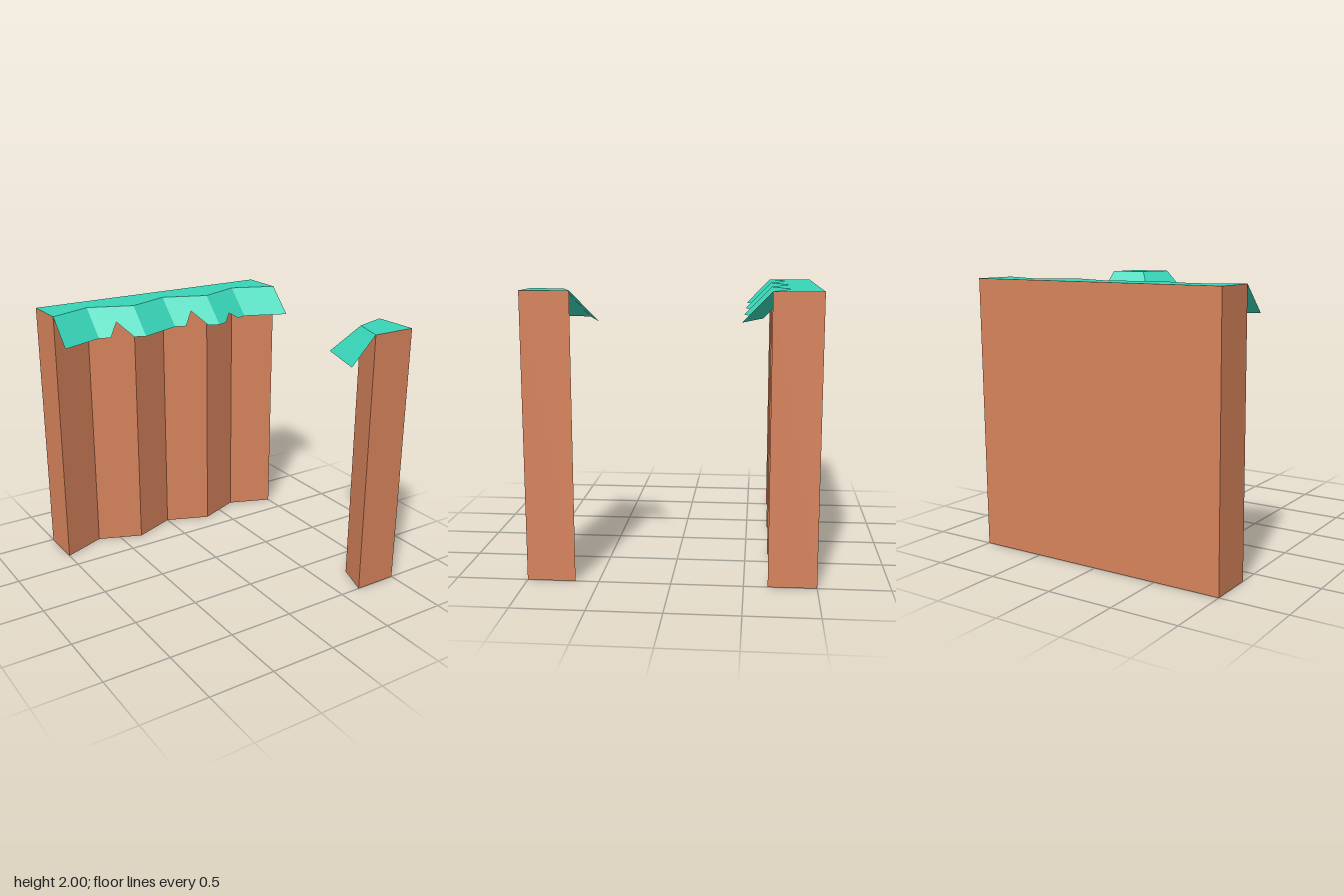
import * as THREE from 'three';
import { mergeGeometries } from 'three/addons/utils/BufferGeometryUtils.js';

const TOP = 2, HEM = 1.8;
const soil = new THREE.MeshStandardMaterial({ color: 0xd8845c, flatShading: true });
const turf = new THREE.MeshStandardMaterial({ color: 0x38d6b8, flatShading: true, side: THREE.DoubleSide });

// Flat polygon from [x, z] points at height y, facing up (1) or down (-1)
function slab(outline, y, facing) {
  const shape = new THREE.Shape(outline.map(([x, z]) => new THREE.Vector2(x, -facing * z)));
  return new THREE.ShapeGeometry(shape).rotateX(-facing * Math.PI / 2).translate(0, y, 0).toNonIndexed();
}

// Four-sided panel between rim edge a-b and hem edge c-d, optionally with a pointed notch cut up from the hem
function panel(a, b, c, d, yTop, yLow, notch = 0) {
  const pts = [[0, 0], [0, 1]];
  if (notch) pts.push([0.25, 1], [0.5, notch], [0.75, 1]);
  pts.push([1, 1], [1, 0]);
  const geo = new THREE.ShapeGeometry(new THREE.Shape(pts.map(([s, t]) => new THREE.Vector2(s, -t)))).toNonIndexed();
  const pos = geo.attributes.position;
  const lerp = THREE.MathUtils.lerp;
  for (let i = 0; i < pos.count; i++) {
    const s = pos.getX(i), t = -pos.getY(i);
    const at = k => lerp(lerp(a[k], b[k], s), lerp(c[k], d[k], s), t);
    pos.setXYZ(i, at(0), lerp(yTop, yLow, t), at(1));
  }
  geo.computeVertexNormals();
  return geo;
}

function addMesh(group, name, parts, material) {
  const mesh = new THREE.Mesh(mergeGeometries(parts), material);
  mesh.name = name;
  group.add(mesh);
}

// Upright soil block with a turf top and a sloping turf overhang along one side
function turfBlock(name, outline, rim, hem, notches = []) {
  const group = new THREE.Group();
  group.name = name;
  const sides = outline.map((p, i) => {
    const q = outline[(i + 1) % outline.length];
    return panel(p, q, p, q, TOP, 0);
  });
  addMesh(group, name + 'Soil', [...sides, slab(outline, 0, -1)], soil);
  addMesh(group, name + 'TurfTop', [slab(outline, TOP, 1)], turf);
  const flaps = rim.slice(1).map((p, i) => panel(rim[i], p, hem[i], hem[i + 1], TOP, HEM, notches[i]));
  addMesh(group, name + 'TurfOverhang', flaps, turf);
  return group;
}

export function createModel() {
  const model = new THREE.Group();
  model.name = 'cliffPieces';

  // Wide cliff with a zigzag front
  const front = [];
  for (let i = 0; i <= 6; i++) front.push([-1 + i / 3, i % 2 ? -0.8 : -0.665]);
  const wallHem = front.map(([x, z]) => [x, z + 0.195]);
  model.add(turfBlock('cliffWall', [...front, [1, -1], [-1, -1]], front, wallHem, [0, 0.5, 0, 0.5, 0.75, 0]));

  // Corner pillar, its overhang facing the inside of the corner
  const rim = [[1, 0.663], [0.747, 0.747], [0.663, 1]];
  const pillarHem = [[1, 0.464], [0.598, 0.598], [0.464, 1]];
  model.add(turfBlock('cornerPillar', [...rim, [1, 1]], rim, pillarHem));

  return model;
}
